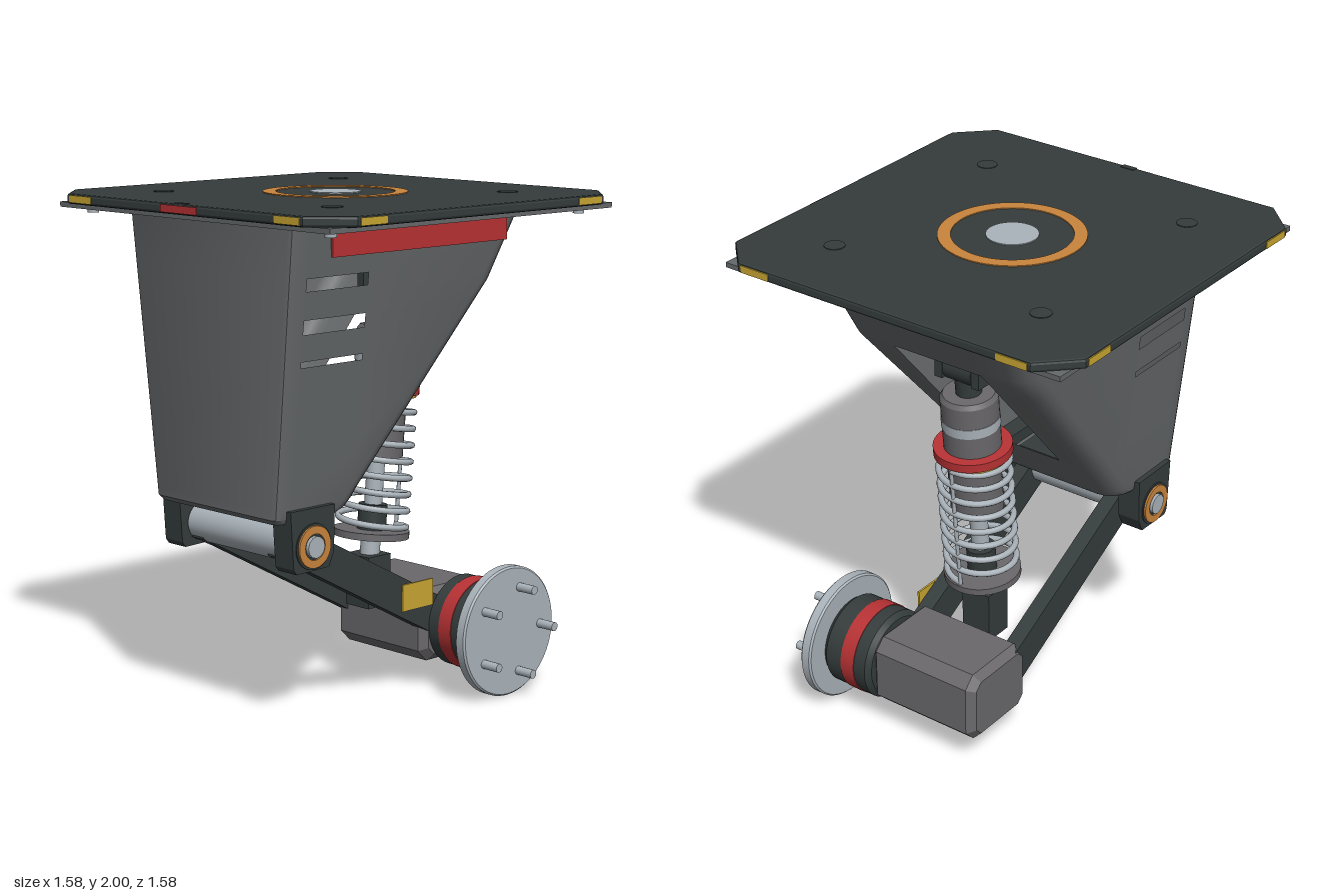
import * as THREE from 'three';
import { toCreasedNormals } from 'three/addons/utils/BufferGeometryUtils.js';

const material = (name, color, side = THREE.FrontSide) => {
  const m = new THREE.MeshStandardMaterial({ color, side });
  m.name = name;
  return m;
};

// Piecewise linear lookup in a list of [key, value] pairs
function lookup(table, k) {
  for (let i = 1; i < table.length; i++) {
    const [k0, v0] = table[i - 1], [k1, v1] = table[i];
    if (k <= k1) return v0 + (v1 - v0) * (k - k0) / (k1 - k0);
  }
  return table[table.length - 1][1];
}

// Hollow tapered shell: stacked rings, leaving out the cells of slots and rear opening
function shellGeometry() {
  const rearZ = [[0.83, 0.28], [0.85, 0.23], [0.88, 0.2], [0.92, 0.17], [1.66, -0.46], [1.94, -0.605]];
  const frontZ = [[0.83, 0.615], [0.85, 0.632], [1.94, 0.65]];
  const halfW = [[0.83, 0.33], [0.85, 0.34], [1.94, 0.455]];
  const slots = [[1.415, 1.437], [1.537, 1.59], [1.695, 1.742]];
  const levels = [0.83, 0.85, 0.88, 0.92, 1.08, 1.415, 1.437, 1.537, 1.59, 1.66, 1.695, 1.742, 1.94];
  const pos = [], idx = [], n = 22;
  for (const y of levels) {
    const w = lookup(halfW, y), zf = lookup(frontZ, y), zr = lookup(rearZ, y);
    const r = 0.025, R = 0.09, half = [];
    for (let i = 0; i < 3; i++) {
      const a = i * Math.PI / 4;
      half.push([w - r + r * Math.sin(a), zf - r + r * Math.cos(a)]);
    }
    half.push([w, 0.56], [w, Math.max(0.25, zr + R)]);
    for (let i = 0; i < 5; i++) {
      const a = i * Math.PI / 8;
      half.push([w - R + R * Math.cos(a), zr + R - R * Math.sin(a)]);
    }
    half.push([0.2, zr]);
    for (const [x, z] of half) pos.push(x, y, z);
    for (const [x, z] of half.reverse()) pos.push(-x, y, z);
  }
  for (let j = 0; j < levels.length - 1; j++) {
    const mid = (levels[j] + levels[j + 1]) / 2;
    const inSlot = slots.some(([a, b]) => mid > a && mid < b);
    for (let i = 0; i < n; i++) {
      if (inSlot && (i === 3 || i === 17)) continue;
      if (i === 10 && mid > 1.08 && mid < 1.66) continue;
      const a = j * n + i, b = j * n + (i + 1) % n;
      idx.push(a, b, b + n, a, b + n, a + n);
    }
  }
  for (let i = 1; i < n - 1; i++) idx.push(0, i + 1, i); // floor
  const g = new THREE.BufferGeometry();
  g.setAttribute('position', new THREE.Float32BufferAttribute(pos, 3));
  g.setIndex(idx);
  return toCreasedNormals(g, 0.5);
}

export function createModel() {
  const model = new THREE.Group();
  const dark = material('charcoal', 0x353c3c);
  const grey = material('housing grey', 0x66696b, THREE.DoubleSide);
  const motorGrey = material('motor grey', 0x6a686b);
  const silver = material('silver', 0xabb4bb);
  const red = material('red', 0xb83234);
  const yellow = material('yellow', 0xc9a632);
  const orange = material('orange', 0xc9853d);

  const add = (name, geo, mat, x = 0, y = 0, z = 0, parent = model) => {
    const m = new THREE.Mesh(geo, mat);
    m.name = name;
    m.position.set(x, y, z);
    parent.add(m);
    return m;
  };
  const box = (name, mat, w, h, d, x, y, z) => add(name, new THREE.BoxGeometry(w, h, d), mat, x, y, z);
  const cyl = (r, h, seg = 40, r2 = r) => new THREE.CylinderGeometry(r, r2, h, seg);
  // Cylinder along x from x0 to x1
  const cylX = (name, mat, r, x0, x1, y, z, seg = 40) =>
    add(name, cyl(r, Math.abs(x1 - x0), seg).rotateZ(Math.PI / 2), mat, (x0 + x1) / 2, y, z);
  // Profile given in (z, y), extruded along x and centred on x
  const sideShape = (pts, width) => new THREE.ExtrudeGeometry(
    new THREE.Shape(pts.map(([z, y]) => new THREE.Vector2(-z, y))), { depth: width, bevelEnabled: false })
    .translate(0, 0, -width / 2).rotateY(Math.PI / 2);
  const ring = (r0, r1, h) => {
    const s = new THREE.Shape().absarc(0, 0, r1, 0, Math.PI * 2);
    s.holes.push(new THREE.Path().absarc(0, 0, r0, 0, Math.PI * 2, true));
    return new THREE.ExtrudeGeometry(s, { depth: h, bevelEnabled: false, curveSegments: 32 });
  };

  // Top plate with cut corners
  const e = 0.778, c = 0.65;
  const plate = new THREE.Shape([[e, -c], [e, c], [c, e], [-c, e], [-e, c], [-e, -c], [-c, -e], [c, -e]]
    .map(p => new THREE.Vector2(...p)));
  add('topPlate', new THREE.ExtrudeGeometry(plate, {
    depth: 0.02, bevelThickness: 0.01, bevelSize: 0.01, bevelSegments: 2 }).rotateX(-Math.PI / 2), dark, 0, 1.966, 0);
  add('topRing', ring(0.23, 0.28, 0.006).rotateX(-Math.PI / 2), orange, 0, 1.994, 0);
  add('topHub', cyl(0.1, 0.02), silver, 0, 1.99, 0);
  box('frontNotch', dark, 0.06, 0.006, 0.025, 0, 1.996, 0.772);

  // Square frame under the plate
  for (const s of [-1, 1]) {
    box('frameRail', grey, 1.5, 0.02, 0.13, 0, 1.947, s * 0.685);
    box('frameSideRail', grey, 0.13, 0.02, 1.24, s * 0.685, 1.947, 0);
    for (const t of [-1, 1]) {
      add('frameBolt', cyl(0.022, 0.025, 12), silver, s * 0.66, 1.928, t * 0.66);
      add('plateBolt', cyl(0.04, 0.006, 24), dark, s * 0.467, 1.996, t * 0.467);
      box('endMarker', yellow, 0.13, 0.028, 0.008, s * 0.575, 1.976, t * 0.787);
      box('sideMarker', yellow, 0.008, 0.028, 0.13, s * 0.787, 1.976, t * 0.575);
    }
    box('sidePanel', red, 0.009, 0.125, 0.93, s * 0.464, 1.877, 0);
  }
  box('frontMarker', red, 0.2, 0.028, 0.008, 0, 1.976, 0.788);

  add('housing', shellGeometry(), grey);

  // Front pivot and trailing arms
  const py = 0.735, pz = 0.467;
  cylX('pivotTube', silver, 0.078, -0.255, 0.255, py, pz);
  cylX('pivotPin', silver, 0.042, -0.385, 0.385, py, pz, 12);
  box('pivotPlate', dark, 0.5, 0.02, 0.16, 0, 0.822, pz);
  const bracket = [[0.58, 0.88], [0.355, 0.88], [0.36, 0.7], [0.385, 0.645], [0.55, 0.64], [0.565, 0.66]];
  const arm = [[0.5, 0.8], [0.39, 0.765], [-0.33, 0.385], [-0.37, 0.33], [-0.345, 0.235], [-0.3, 0.235], [0.43, 0.63], [0.53, 0.68]];
  for (const s of [-1, 1]) {
    add('pivotBracket', sideShape(bracket, 0.1), dark, s * 0.315, 0, 0);
    cylX('pivotCap', dark, 0.088, s * 0.36, s * 0.37, py, pz);
    add('pivotRing', ring(0.05, 0.08, 0.008).rotateY(s * Math.PI / 2), orange, s * 0.37, py, pz);
    add('trailingArm', sideShape(arm, 0.065), dark, s * 0.218, 0, 0);
  }
  box('armMarker', yellow, 0.008, 0.108, 0.17, 0.254, 0.41, -0.205);

  // Motor box with chamfered edges
  const hz = 0.15, hy = 0.12, k = 0.03;
  const motor = new THREE.Shape([[hz, -hy + k], [hz, hy - k], [hz - k, hy], [k - hz, hy], [-hz, hy - k],
    [-hz, k - hy], [k - hz, -hy], [hz - k, -hy]].map(p => new THREE.Vector2(...p)));
  add('motorBox', new THREE.ExtrudeGeometry(motor, {
    depth: 0.44, bevelThickness: 0.03, bevelSize: 0.03, bevelSegments: 1 })
    .translate(0, 0, -0.22).rotateY(Math.PI / 2), motorGrey, -0.005, 0.265, -0.43);

  // Drum, wheel flange and studs
  const wy = 0.264, wz = -0.46;
  const drum = [[0, 0.23], [0.165, 0.23], [0.185, 0.25], [0.185, 0.445], [0.17, 0.465], [0, 0.465]]
    .map(p => new THREE.Vector2(...p));
  add('drum', toCreasedNormals(new THREE.LatheGeometry(drum, 48), 0.5).rotateZ(-Math.PI / 2), dark, 0, wy, wz);
  cylX('drumBand', red, 0.188, 0.305, 0.37, wy, wz, 48);
  const flange = [[0, 0.465], [0.255, 0.465], [0.262, 0.472], [0.262, 0.508], [0.255, 0.515], [0, 0.515]]
    .map(p => new THREE.Vector2(...p));
  add('wheelFlange', toCreasedNormals(new THREE.LatheGeometry(flange, 64), 0.5).rotateZ(-Math.PI / 2), silver, 0, wy, wz);
  for (let i = 0; i < 5; i++) {
    const a = i * Math.PI * 2 / 5;
    cylX('wheelStud', silver, 0.018, 0.51, 0.595, wy + 0.18 * Math.sin(a), wz - 0.18 * Math.cos(a), 12);
  }

  // Spring and damper, leaning back; local y = 0 lies at the lower seat
  const shock = new THREE.Group();
  shock.name = 'damper';
  shock.position.set(0, 0.6, -0.197);
  shock.rotation.x = -0.092;
  model.add(shock);
  const part = (name, mat, r, y0, y1, r2 = r) =>
    add(name, cyl(r, y1 - y0, 40, r2), mat, 0, (y0 + y1) / 2, 0, shock);
  part('lowerStem', silver, 0.04, -0.08, 0.02);
  part('springSeat', motorGrey, 0.153, 0.01, 0.038);
  part('bumpStop', dark, 0.058, 0.03, 0.14);
  part('pistonRod', silver, 0.036, 0.1, 0.36);
  part('damperBody', motorGrey, 0.104, 0.335, 0.6);
  part('adjusterRing', yellow, 0.142, 0.578, 0.592);
  part('springCollar', red, 0.153, 0.59, 0.625);
  part('upperBody', motorGrey, 0.112, 0.62, 0.84);
  part('upperCap', motorGrey, 0.1, 0.84, 0.858, 0.112);
  part('bodyBand', silver, 0.114, 0.715, 0.755);
  part('damperNeck', dark, 0.05, 0.85, 0.95);
  add('upperEye', cyl(0.065, 0.13, 32).rotateZ(Math.PI / 2), dark, 0, 0.97, 0, shock);
  const coil = [], turns = 8;
  for (let i = 0; i <= turns * 16; i++) {
    const a = i * Math.PI / 8;
    coil.push(new THREE.Vector3(0.138 * Math.sin(a), 0.045 + 0.53 * i / (turns * 16), -0.138 * Math.cos(a)));
  }
  add('spring', new THREE.TubeGeometry(new THREE.CatmullRomCurve3(coil), 320, 0.013, 8), silver, 0, 0, 0, shock);
  add('springGuide', cyl(0.008, 0.54, 8), silver, 0, 0.31, -0.14, shock);

  // Damper mounts
  box('lowerMount', dark, 0.13, 0.21, 0.125, 0, 0.435, -0.183);
  for (const s of [-1, 1]) box('upperMount', dark, 0.035, 0.42, 0.13, s * 0.085, 1.73, -0.285);
  cylX('upperMountPin', dark, 0.03, -0.12, 0.12, 1.566, -0.286, 20);
  box('upperMountBridge', dark, 0.205, 0.08, 0.13, 0, 1.72, -0.285);

  return model;
}
